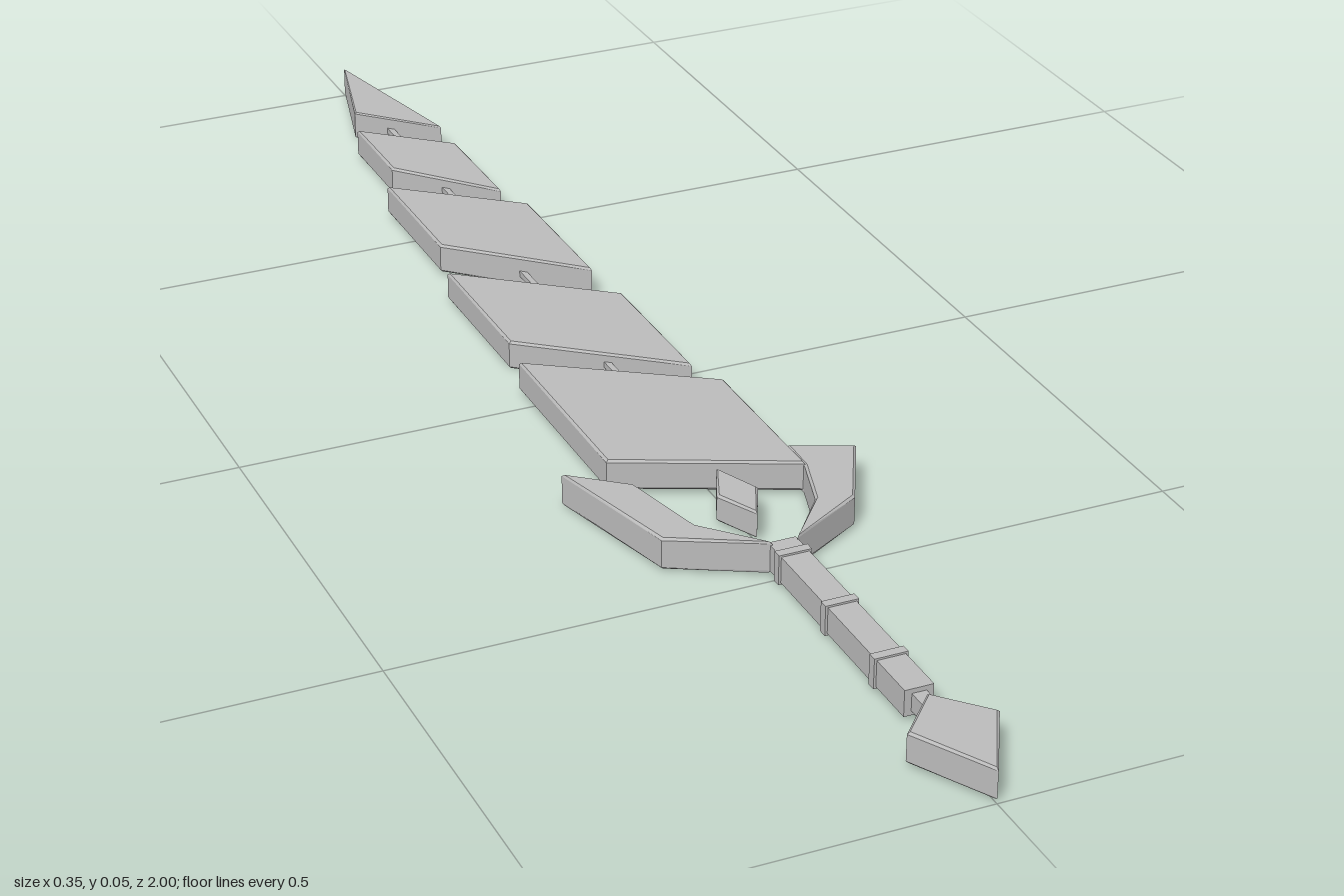
import * as THREE from 'three';

const steel = new THREE.MeshStandardMaterial({ color: 0xbbbbbb });
steel.name = 'grey steel';

// Flat plate with a small chamfer, outlined in [x, z] and spanning y0..y1
function plate(name, points, y0, y1, bevel = 0.003) {
  const shape = new THREE.Shape(points.map(([x, z]) => new THREE.Vector2(x, -z)));
  const geometry = new THREE.ExtrudeGeometry(shape, {
    depth: y1 - y0 - 2 * bevel,
    bevelEnabled: true,
    bevelThickness: bevel,
    bevelSize: bevel,
    bevelOffset: -bevel,
    bevelSegments: 1,
  });
  geometry.rotateX(-Math.PI / 2);
  geometry.translate(0, y0 + bevel, 0);
  const mesh = new THREE.Mesh(geometry, steel);
  mesh.name = name;
  return mesh;
}

// Box spanning z0..z1 along the sword
function bar(name, width, height, z0, z1, y = 0.023) {
  const mesh = new THREE.Mesh(new THREE.BoxGeometry(width, height, z1 - z0), steel);
  mesh.position.set(0, y, (z0 + z1) / 2);
  mesh.name = name;
  return mesh;
}

// Diamond outline with its widest point at zMid
const diamond = (half, z0, zMid, z1) => [[0, z0], [half, zMid], [0, z1], [-half, zMid]];

export function createModel() {
  const sword = new THREE.Group();
  sword.name = 'segmentedSword';

  // Blade: slanted segments, alternately raised and lowered
  const blade = new THREE.Group();
  blade.name = 'blade';
  blade.add(plate('bladeTip', [[0, -1], [-0.04, -0.845], [0.056, -0.75]], 0.003, 0.043, 0.002));
  const segments = [
    // xLeft, xRight, back left z, back right z, front right z, front left z, bottom, top
    [-0.056, 0.057, -0.79, -0.695, -0.525, -0.65, 0.002, 0.041],
    [-0.087, 0.071, -0.585, -0.46, -0.24, -0.385, 0.007, 0.047],
    [-0.102, 0.086, -0.32, -0.175, 0.043, -0.105, 0.0, 0.039],
    [-0.117, 0.1, -0.035, 0.107, 0.338, 0.24, 0.007, 0.047],
  ];
  for (const [l, r, bl, br, fr, fl, y0, y1] of segments) {
    blade.add(plate('bladeSegment', [[l, bl], [r, br], [r, fr], [l, fl]], y0, y1));
  }
  blade.add(bar('bladeCore', 0.008, 0.008, -0.82, 0.1));
  sword.add(blade);

  // Guard: two uneven prongs around a floating gem
  const guard = new THREE.Group();
  guard.name = 'guard';
  guard.add(plate('rightProng',
    [[-0.177, 0.245], [-0.107, 0.3], [-0.08, 0.415], [-0.016, 0.488], [-0.13, 0.43]], 0.003, 0.045));
  guard.add(plate('leftProng',
    [[0.1, 0.287], [0.177, 0.32], [0.12, 0.43], [0.016, 0.488], [0.075, 0.415], [0.098, 0.34]], 0.003, 0.045));
  guard.add(plate('guardGem', diamond(0.027, 0.3, 0.36, 0.415), 0.006, 0.042));
  sword.add(guard);

  // Grip with binding rings
  const grip = new THREE.Group();
  grip.name = 'grip';
  grip.add(bar('gripCore', 0.036, 0.034, 0.48, 0.822));
  for (const z of [0.51, 0.63, 0.75]) {
    grip.add(bar('gripRing', 0.042, 0.039, z - 0.006, z + 0.006));
  }
  grip.add(bar('pommelNeck', 0.018, 0.022, 0.82, 0.87));
  sword.add(grip);

  // Pommel
  sword.add(plate('pommel', diamond(0.056, 0.84, 0.9, 1), 0.004, 0.044));

  return sword;
}
